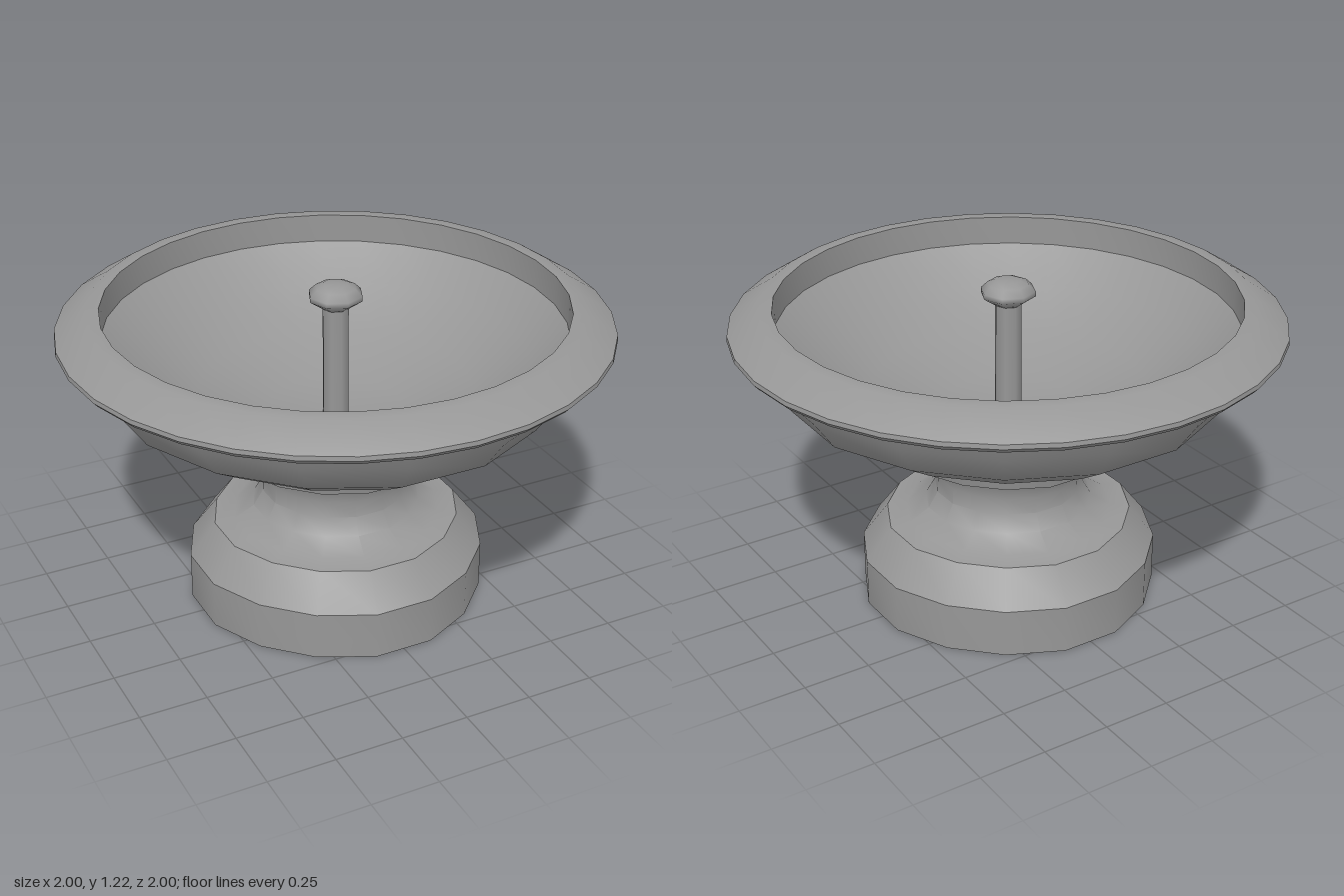
import * as THREE from 'three';
import { toCreasedNormals } from 'three/addons/utils/BufferGeometryUtils.js';

const stone = new THREE.MeshStandardMaterial({ color: 0x979797 });
const thinStone = new THREE.MeshStandardMaterial({ color: 0x979797, side: THREE.DoubleSide });

// Revolve a [radius, height] profile, keeping edges sharper than the crease angle.
// Squareness draws the diagonals in and pushes the four axis sides out a little.
function turned(name, profile, sides, { phase = 0, squareness = 0, material = stone, crease = 0.58 } = {}) {
  const points = profile.map(([r, y]) => new THREE.Vector2(r, y));
  const lathe = new THREE.LatheGeometry(points, sides, phase);
  const pos = lathe.attributes.position;
  for (let i = 0; i < pos.count; i++) {
    const x = pos.getX(i), z = pos.getZ(i);
    const k = 1 + squareness * Math.cos(4 * Math.atan2(x, z));
    pos.setX(i, x * k);
    pos.setZ(i, z * k);
  }
  const mesh = new THREE.Mesh(toCreasedNormals(lathe, crease), material);
  mesh.name = name;
  return mesh;
}

export function createModel() {
  const group = new THREE.Group();
  group.name = 'birdbathFountain';
  const sixteenSided = { phase: Math.PI / 16, squareness: 0.014, material: thinStone };

  // Hollow foot, waist and collar, open underneath
  group.add(turned('pedestal', [
    [0.557, 0], [0.557, 0.18], [0.461, 0.305],
    [0.387, 0.315], [0.313, 0.36], [0.278, 0.42], [0.275, 0.48],
    [0.283, 0.525], [0.303, 0.56], [0.343, 0.582], [0.404, 0.59], [0.428, 0.69],
  ], 16, sixteenSided));

  // Outside of the bowl
  group.add(turned('bowl', [
    [0, 0.66], [0.25, 0.663], [0.425, 0.677], [0.657, 0.752], [0.8, 0.842],
    [0.88, 0.955], [0.915, 1.036],
  ], 16, sixteenSided));

  // Overhanging lip, bevelled top, upright inner wall and dished floor
  const floor = [0.838, 0.7, 0.5, 0.25, 0].map((r) => [r, 1.903 - Math.sqrt(1.447 - r * r)]);
  group.add(turned('rimAndFloor', [
    [0.87, 1.035], [0.96, 1.035], [0.985, 1.045], [1, 1.062], [0.998, 1.078],
    [0.885, 1.15], [0.838, 1.15], ...floor,
  ], 32, { material: thinStone }));

  // Central pipe and its mushroom cap
  const pipe = new THREE.Mesh(new THREE.CylinderGeometry(0.049, 0.049, 0.48, 8, 1), stone);
  pipe.name = 'pipe';
  pipe.position.y = 0.92;
  group.add(pipe);

  group.add(turned('cap', [
    [0, 1.13], [0.05, 1.13], [0.1, 1.165], [0.1, 1.183],
    [0.075, 1.207], [0.045, 1.219], [0, 1.22],
  ], 8, { crease: 1.2 }));

  return group;
}
